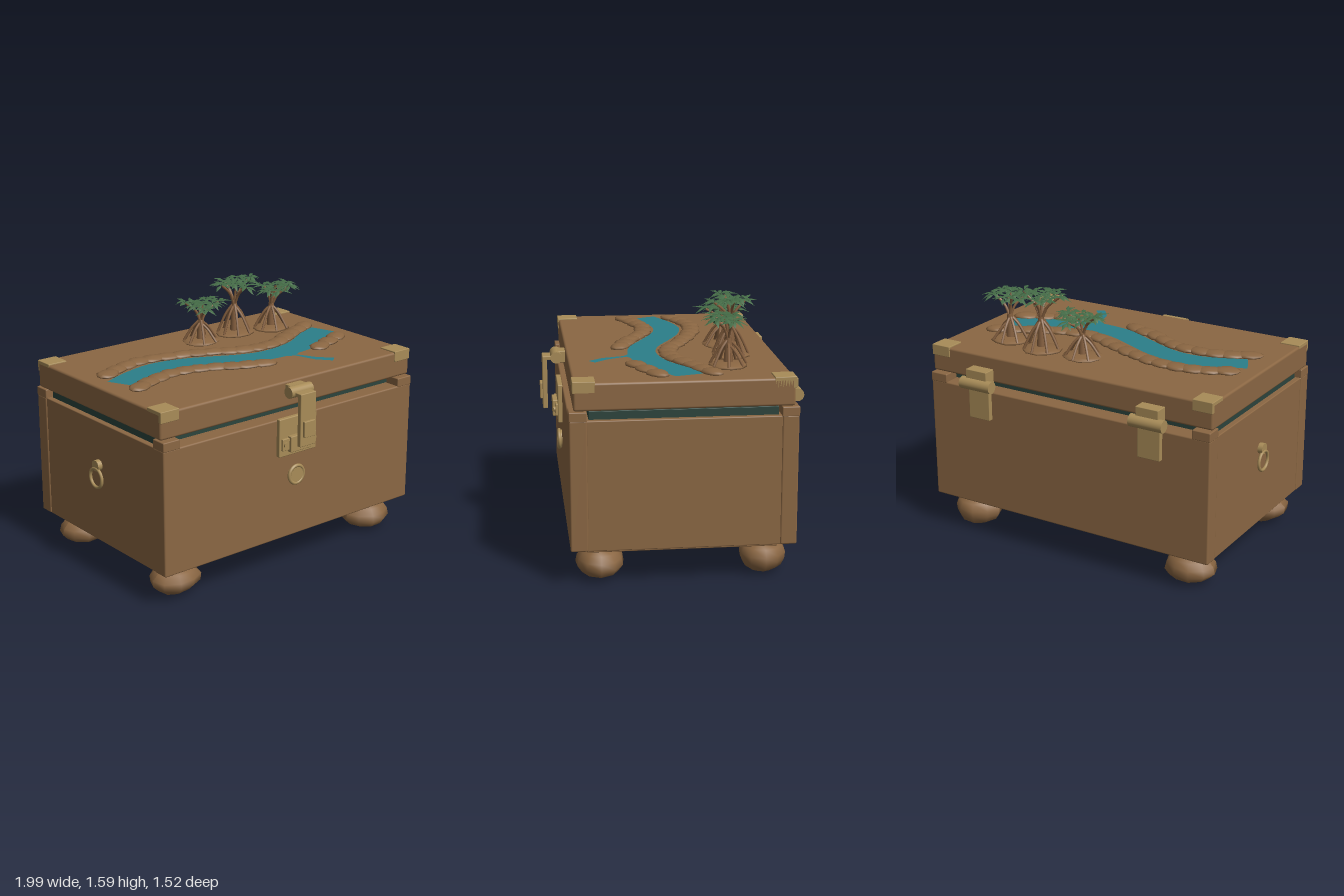
import * as THREE from 'three';
import { RoundedBoxGeometry } from 'three/addons/geometries/RoundedBoxGeometry.js';
import { mergeGeometries } from 'three/addons/utils/BufferGeometryUtils.js';

const paint = (name, color, side = THREE.FrontSide) => {
  const m = new THREE.MeshStandardMaterial({ color, side });
  m.name = name;
  return m;
};
const V = (x, y, z) => new THREE.Vector3(x, y, z);

export function createModel() {
  const root = new THREE.Group();
  root.name = 'treasureChest';
  const wood = paint('wood', 0x8b6743);
  const stone = paint('stone', 0x8a6642);
  const bark = paint('bark', 0x86603f);
  const brass = paint('brass', 0xa88c58);
  const lining = paint('darkLining', 0x2c443c);
  const water = paint('water', 0x2b7f8a, THREE.DoubleSide);
  const leafGreen = paint('leafGreen', 0x446b46, THREE.DoubleSide);
  const CX = 0.015, TOP = 1.217;

  let seed = 7;
  const rnd = () => (seed = (seed * 16807) % 2147483647) / 2147483647;

  const add = (name, geo, mat, parent = root) => {
    const mesh = new THREE.Mesh(geo, mat);
    mesh.name = name;
    parent.add(mesh);
    return mesh;
  };
  // box given by its extents on each axis
  const box = (name, mat, [x0, x1], [y0, y1], [z0, z1], r = 0.006) => {
    const m = add(name, new RoundedBoxGeometry(x1 - x0, y1 - y0, z1 - z0, 2, r), mat);
    m.position.set((x0 + x1) / 2, (y0 + y1) / 2, (z0 + z1) / 2);
    return m;
  };
  const rod = (name, mat, axis, r, len, x, y, z, sides = 24) => {
    const g = new THREE.CylinderGeometry(r, r, len, sides);
    if (axis === 'x') g.rotateZ(Math.PI / 2);
    if (axis === 'z') g.rotateX(Math.PI / 2);
    const m = add(name, g, mat);
    m.position.set(x, y, z);
    return m;
  };
  // lumpy ellipsoid
  const rockGeo = (rx, ry, rz, turn, phase) => {
    const g = new THREE.SphereGeometry(1, 10, 7);
    const p = g.attributes.position;
    for (let i = 0; i < p.count; i++) {
      const v = V().fromBufferAttribute(p, i);
      const k = 0.95 + 0.07 * Math.sin(3 * v.x + phase) * Math.cos(2.5 * v.z + phase) + 0.04 * Math.sin(4 * v.y + phase);
      p.setXYZ(i, v.x * k * rx, v.y * k * ry, v.z * k * rz);
    }
    g.computeVertexNormals();
    return g.rotateY(turn);
  };

  // chest body
  const W = [-0.965, 0.995];
  box('basePlate', wood, [-0.885, 0.915], [0.19, 0.24], [-0.58, 0.535]);
  box('frontBoard', wood, W, [0.225, 1.0], [0.53, 0.633], 0.01);
  box('backBoard', wood, W, [0.225, 1.0], [-0.678, -0.58], 0.01);
  box('sideBoards', wood, [W[0] + 0.006, W[1] - 0.006], [0.225, 0.997], [-0.585, 0.535]);
  box('innerLining', lining, [-0.925, 0.955], [0.98, 1.045], [-0.565, 0.52], 0.003);
  box('lid', wood, W, [1.055, TOP], [-0.652, 0.607], 0.014);

  for (const sx of [-1, 1]) {
    const xs = (w) => (sx < 0 ? [W[0], W[0] + w] : [W[1] - w, W[1]]);
    for (const sz of [-1, 1]) {
      // blocks on the body corners and brass caps on the lid corners
      box('cornerBlock', wood, xs(0.117), [0.992, 1.05], sz > 0 ? [0.532, 0.634] : [-0.68, -0.578]);
      box('lidCornerCap', brass, xs(0.13), [1.157, 1.225], sz > 0 ? [0.482, 0.612] : [-0.658, -0.532], 0.004);
      // stone feet
      const foot = add('stoneFoot', rockGeo(0.172, 0.1, 0.15, 0, sx + 2 * sz), stone);
      foot.position.set(CX + sx * 0.783, 0.105, sz > 0 ? 0.455 : -0.508);
    }
    // rear hinge
    const hx = CX + sx * 0.598;
    rod('hingeBarrel', brass, 'x', 0.038, 0.22, hx, 1.048, -0.721);
    box('hingeUpperLeaf', brass, [hx - 0.075, hx + 0.075], [1.05, 1.14], [-0.73, -0.645], 0.004);
    box('hingeLowerLeaf', brass, [hx - 0.075, hx + 0.075], [0.82, 1.04], [-0.707, -0.675], 0.004);
  }

  // front latch
  box('latchPlate', brass, [CX - 0.147, CX + 0.147], [0.768, 1.008], [0.63, 0.66]);
  rod('latchBarrel', brass, 'x', 0.036, 0.17, CX, 1.165, 0.662);
  box('latchMount', brass, [CX - 0.06, CX + 0.06], [1.13, 1.2], [0.6, 0.67], 0.004);
  box('latchArm', brass, [CX - 0.06, CX + 0.06], [1.145, 1.17], [0.67, 0.748], 0.005);
  box('latchStrap', brass, [CX - 0.06, CX + 0.06], [0.84, 1.165], [0.718, 0.748], 0.005);
  box('latchGrip', brass, [CX - 0.042, CX + 0.042], [0.9, 1.0], [0.74, 0.764], 0.004);
  box('latchKeeper', brass, [CX - 0.08, CX + 0.08], [0.795, 0.895], [0.655, 0.69], 0.005);
  for (const s of [-1, 1]) {
    box('latchLug', brass, [CX + s * 0.103 - 0.03, CX + s * 0.103 + 0.03], [0.81, 0.885], [0.655, 0.675], 0.004);
    rod('latchBolt', brass, 'z', 0.016, 0.03, CX + s * 0.11, 0.848, 0.67, 12);
  }

  // round lock button
  rod('lockDisc', brass, 'z', 0.055, 0.03, CX, 0.627, 0.642, 32);
  add('lockRim', new THREE.TorusGeometry(0.056, 0.011, 8, 32), brass).position.set(CX, 0.627, 0.65);

  // pull ring on one end
  rod('ringBoss', brass, 'x', 0.034, 0.03, -0.975, 0.725, -0.02);
  const ring = add('pullRing', new THREE.TorusGeometry(0.06, 0.01, 8, 32).rotateY(Math.PI / 2), brass);
  ring.position.set(-0.985, 0.647, -0.02);

  // river painted as a thin sheet on the lid
  const v2 = (list) => list.map(([x, z]) => new THREE.Vector2(x, -z));
  const north = [[-0.87, -0.04], [-0.7, -0.115], [-0.48, -0.165], [-0.28, -0.135], [-0.1, -0.06], [0.1, 0.035], [0.28, 0.065], [0.5, 0.02], [0.7, -0.09], [0.845, -0.145]];
  const south = [[0.895, 0.02], [0.7, 0.13], [0.53, 0.21], [0.36, 0.235], [0.31, 0.24], [0.1, 0.215], [-0.1, 0.125], [-0.3, 0.035], [-0.45, 0.005], [-0.6, 0.025], [-0.8, 0.105]];
  const outline = [...new THREE.SplineCurve(v2(north)).getPoints(36), ...new THREE.SplineCurve(v2(south)).getPoints(36)];
  const branch = v2([[0.27, 0.22], [0.34, 0.27], [0.38, 0.4], [0.45, 0.487], [0.495, 0.45], [0.42, 0.37], [0.36, 0.25], [0.42, 0.22]]);
  [['river', outline, 0.004], ['riverBranch', branch, 0.0035]].forEach(([name, pts, lift]) => {
    add(name, new THREE.ShapeGeometry(new THREE.Shape(pts)).rotateX(-Math.PI / 2), water).position.y = TOP + lift;
  });

  // stones lining both banks
  const bank = (pts, count) => {
    const curve = new THREE.CatmullRomCurve3(pts.map(([x, z]) => V(x, TOP + 0.006, z)));
    for (let i = 0; i < count; i++) {
      const u = i / (count - 1), t = curve.getTangentAt(u);
      const g = rockGeo(0.088 + rnd() * 0.014, 0.023, 0.06 + rnd() * 0.008, -Math.atan2(t.z, t.x), i * 1.7);
      add('bankStone', g, stone).position.copy(curve.getPointAt(u));
    }
  };
  bank([[-0.79, -0.15], [-0.64, -0.215], [-0.46, -0.24], [-0.22, -0.19], [0, -0.105], [0.15, -0.03], [0.3, -0.005], [0.45, -0.03], [0.62, -0.11], [0.82, -0.2]], 18);
  bank([[-0.78, 0.165], [-0.64, 0.105], [-0.46, 0.075], [-0.28, 0.11], [-0.1, 0.2], [0.07, 0.265]], 10);
  bank([[0.59, 0.215], [0.71, 0.165], [0.82, 0.115]], 3);

  // pointed leaf lying along +x, folded along its midrib
  const leaf = (len, wid) => {
    const g = new THREE.BufferGeometry();
    const d = -0.012;
    g.setAttribute('position', new THREE.Float32BufferAttribute(
      [0, 0, 0, len * 0.45, 0.008, 0, len, d, 0, len * 0.5, 0, wid, len * 0.5, 0, -wid], 3));
    g.setIndex([0, 3, 1, 1, 3, 2, 0, 1, 4, 1, 2, 4]);
    g.computeVertexNormals();
    return g;
  };
  const limb = (pts, r) => new THREE.TubeGeometry(new THREE.CatmullRomCurve3(pts), 7, r, 6);

  // trees with stilt roots, spreading branches and leaf rosettes
  const tree = (x, z, height, spreadX, spreadZ, shiftX, shiftZ) => {
    const g = new THREE.Group();
    g.name = 'tree';
    g.position.set(x, TOP, z);
    root.add(g);
    add('treeMound', rockGeo(0.135, 0.022, 0.12, 0, x * 5), stone, g).position.y = 0.004;
    const fork = height * 0.56;
    const parts = [new THREE.CylinderGeometry(0.018, 0.03, fork, 8).translate(0, fork / 2, 0)];
    const leaves = [];
    for (let i = 0; i < 7; i++) {
      const a = (i / 7) * Math.PI * 2 + x * 3, c = Math.cos(a), s = Math.sin(a);
      const top = fork * (0.72 + 0.25 * rnd());
      parts.push(limb([V(c * 0.008, top, s * 0.008), V(c * 0.05, top * 0.72, s * 0.05), V(c * 0.085, top * 0.35, s * 0.085), V(c * 0.11, 0.008, s * 0.11)], 0.0085));
    }
    for (let i = 0; i < 9; i++) {
      const inner = i === 8, a = (i / 8) * Math.PI * 2 + x * 4;
      const k = inner ? 0.1 : i % 2 ? 0.68 : 0.95;
      const tip = V(shiftX + Math.cos(a) * spreadX * k, height - 0.05 + rnd() * 0.045, shiftZ + Math.sin(a) * spreadZ * k);
      if (i % 2 === 0) {
        parts.push(limb([V(0, fork - 0.03, 0), V(tip.x * 0.35, fork + (tip.y - fork) * 0.5, tip.z * 0.35), tip], 0.0085));
      }
      for (let j = 0; j < 9; j++) {
        const l = leaf(0.065 + rnd() * 0.03, 0.014);
        l.rotateZ((rnd() - 0.5) * 0.7).rotateY((j / 9) * Math.PI * 2 + rnd() * 0.5);
        leaves.push(l.translate(tip.x, tip.y + rnd() * 0.012, tip.z));
      }
    }
    add('trunkAndRoots', mergeGeometries(parts.map((p) => p.toNonIndexed())), bark, g);
    add('foliage', mergeGeometries(leaves), leafGreen, g);
  };
  tree(0.08, -0.36, 0.275, 0.125, 0.1, 0.01, 0);
  tree(0.37, -0.375, 0.37, 0.13, 0.1, 0, 0.01);
  tree(0.64, -0.32, 0.305, 0.11, 0.075, 0.02, 0.03);

  return root;
}
